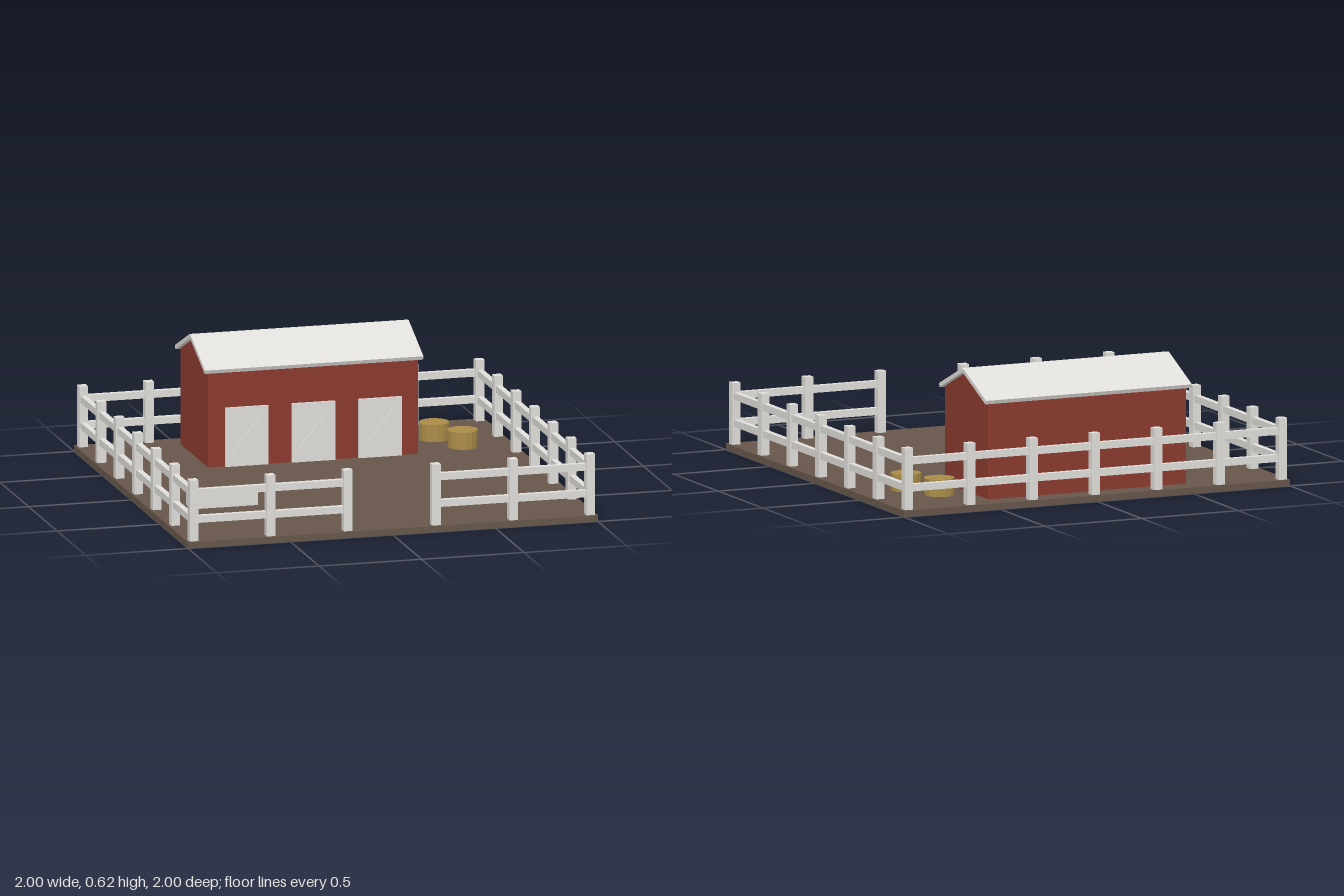
import * as THREE from 'three';

export function createModel() {
  const model = new THREE.Group();
  const mat = (name, color) => {
    const m = new THREE.MeshStandardMaterial({ color });
    m.name = name;
    m.flatShading = true;
    return m;
  };
  const earth = mat('brown earth', 0x66564a);
  const red = mat('barn red', 0x8b3a2e);
  const white = mat('off white', 0xe0deda);
  const straw = mat('straw', 0xaa8c48);

  const add = (parent, name, geometry, material, x, y, z) => {
    const mesh = new THREE.Mesh(geometry, material);
    mesh.name = name;
    mesh.position.set(x, y, z);
    parent.add(mesh);
    return mesh;
  };
  const box = (parent, name, material, w, h, d, x, y, z) =>
    add(parent, name, new THREE.BoxGeometry(w, h, d), material, x, y, z);
  const group = (name) => {
    const g = new THREE.Group();
    g.name = name;
    model.add(g);
    return g;
  };

  const floor = 0.03;
  box(model, 'ground', earth, 2, floor, 2, 0, floor / 2, 0);

  // Fence: evenly spaced posts with two rails, open gate at the front
  const fence = group('fence');
  const edge = 0.968;
  const post = (x, z) => box(fence, 'fencePost', white, 0.042, 0.295, 0.042, x, floor + 0.1475, z);
  const rails = (x, z, length, alongX) => {
    for (const y of [0.133, 0.262]) {
      box(fence, 'fenceRail', white, alongX ? length : 0.028, 0.034, alongX ? 0.028 : length, x, y, z);
    }
  };
  for (let i = -3; i <= 3; i++) {
    const p = (i * edge) / 3;
    post(p, -edge);
    if (i > -3) for (const s of [-1, 1]) post(s * edge, p);
  }
  rails(0, -edge, edge * 2, true);
  for (const s of [-1, 1]) {
    rails(s * edge, 0, edge * 2, false);
    post(s * 0.592, edge);
    post(s * 0.215, edge);
    rails(s * (edge + 0.215) / 2, edge, edge - 0.215, true);
  }

  // Barn body and gable prism
  const barn = group('barn');
  barn.position.set(0, 0, -0.645);
  const halfW = 0.512, halfD = 0.243, eave = 0.5;
  box(barn, 'barnWalls', red, halfW * 2, eave - floor, halfD * 2, 0, (eave + floor) / 2, 0);
  const gable = new THREE.Shape();
  gable.moveTo(-halfD, 0);
  gable.lineTo(halfD, 0);
  gable.lineTo(0, 0.1);
  gable.closePath();
  const gableGeo = new THREE.ExtrudeGeometry(gable, { depth: halfW * 2, bevelEnabled: false });
  gableGeo.translate(0, 0, -halfW);
  gableGeo.rotateY(Math.PI / 2);
  add(barn, 'gables', gableGeo, red, 0, eave, 0);

  // Two sloping roof panels meeting at the ridge
  const pitch = 0.415, slope = 0.284, thick = 0.02;
  for (const s of [-1, 1]) {
    const geo = new THREE.BoxGeometry(1.066, thick, slope);
    geo.translate(0, -thick / 2, slope / 2);
    geo.rotateX(pitch);
    if (s < 0) geo.rotateY(Math.PI);
    add(barn, 'roofPanel', geo, white, 0, 0.62, s * 0.005);
  }

  // Three stall doors, each with a diagonal brace
  for (const x of [-0.325, 0, 0.325]) {
    box(barn, 'stallDoor', white, 0.21, 0.285, 0.012, x, 0.1725, halfD + 0.006);
    const brace = box(barn, 'doorBrace', white, 0.205, 0.02, 0.01, x, 0.175, halfD + 0.016);
    brace.rotation.z = 0.88;
  }

  // Feeding trough
  const trough = group('trough');
  trough.position.set(-0.646, 0, 0.321);
  box(trough, 'troughBody', white, 0.322, 0.065, 0.108, 0, floor + 0.0325, 0);
  box(trough, 'troughFill', earth, 0.288, 0.006, 0.074, 0, 0.098, 0);

  // Round straw bales
  for (const [x, z] of [[0.665, -0.671], [0.753, -0.487]]) {
    add(model, 'strawBale', new THREE.CylinderGeometry(0.072, 0.072, 0.11, 16), straw, x, 0.057, z);
  }
  return model;
}
